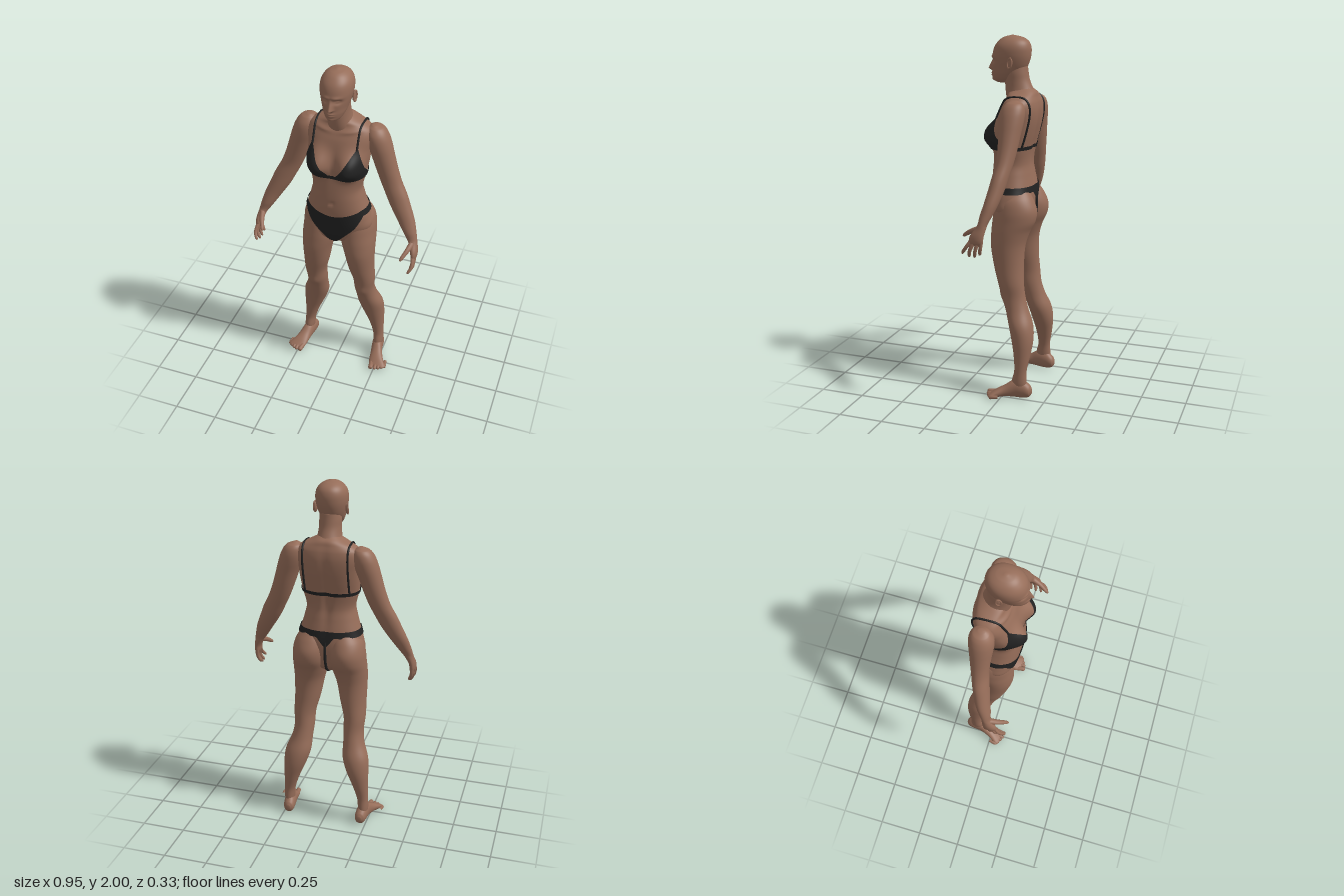
import * as THREE from 'three';
import { mergeVertices } from 'three/addons/utils/BufferGeometryUtils.js';

const skinMat = new THREE.MeshStandardMaterial({ color: 0x966d59 });
skinMat.name = 'skin';
const clothMat = new THREE.MeshStandardMaterial({ color: 0x222222, side: THREE.DoubleSide });
clothMat.name = 'black cloth';

const gauss = (d, s) => Math.exp(-((d / s) ** 2));
const spow = (v, e) => Math.sign(v) * Math.abs(v) ** e;
const mix = (a, b, t) => a + (b - a) * t;

// Smoothly interpolate table rows by their first column
function sample(rows, k) {
  let i = 0;
  while (i < rows.length - 2 && k > rows[i + 1][0]) i++;
  const a = rows[i], b = rows[i + 1], p = rows[Math.max(i - 1, 0)], q = rows[Math.min(i + 2, rows.length - 1)];
  const h = b[0] - a[0], t = (k - a[0]) / h, t2 = t * t, t3 = t2 * t;
  return a.map((v, c) => {
    const m0 = (b[c] - p[c]) / (b[0] - p[0]) * h, m1 = (q[c] - v) / (q[0] - a[0]) * h;
    return (2 * t3 - 3 * t2 + 1) * v + (t3 - 2 * t2 + t) * m0 + (3 * t2 - 2 * t3) * b[c] + (t3 - t2) * m1;
  });
}

// Point on a limb surface; rows are [y, centre x, half width, front z, back z], angle 0 faces the front
function surface(rows, angle, y, e, bump) {
  const [, cx, hx, zf, zb] = sample(rows, y);
  const x = cx + Math.max(hx, 0.001) * spow(Math.sin(angle), e);
  const z = (zf + zb) / 2 + (zf - zb) / 2 * spow(Math.cos(angle), e);
  return [x, y, z + (bump ? bump(x, y, Math.cos(angle)) : 0)];
}

function gridGeometry(points, index) {
  const g = new THREE.BufferGeometry();
  g.setAttribute('position', new THREE.Float32BufferAttribute(points.flat(), 3));
  g.setIndex(index);
  g.computeVertexNormals();
  return g;
}

// Closed body form through stacked cross-sections
function loft(rows, { e = 1, seg = 40, sub = 5, bump } = {}) {
  const pts = [], index = [], levels = [];
  for (let i = 0; i < rows.length - 1; i++)
    for (let j = 0; j < sub; j++) levels.push(mix(rows[i][0], rows[i + 1][0], j / sub));
  levels.push(rows.at(-1)[0]);
  levels.forEach(y => {
    for (let j = 0; j < seg; j++) pts.push(surface(rows, j / seg * Math.PI * 2, y, e, bump));
  });
  const L = levels.length - 1;
  const capPoint = r => pts.push([r[1], r[0], (r[3] + r[4]) / 2]) - 1;
  const lo = capPoint(rows[0]), hi = capPoint(rows.at(-1));
  for (let j = 0; j < seg; j++) {
    const k = (j + 1) % seg;
    for (let i = 0; i < L; i++) {
      const a = i * seg + j, b = i * seg + k;
      index.push(a, b, b + seg, a, b + seg, a + seg);
    }
    index.push(lo, k, j, hi, L * seg + j, L * seg + k);
  }
  return gridGeometry(pts, index);
}

// Tapered tube along a curve with rounded ends
function digit(points, r0, r1) {
  const curve = new THREE.CatmullRomCurve3(points.map(p => new THREE.Vector3(...p)));
  const n = 18, seg = 10, g = new THREE.TubeGeometry(curve, n, 1, seg);
  const pos = g.attributes.position, v = new THREE.Vector3();
  for (let i = 0; i <= n; i++) {
    const t = i / n, c = curve.getPointAt(t);
    const r = mix(r0, r1, t) * Math.max(0.02, Math.sqrt(1 - Math.max(0, (t - 0.8) / 0.2) ** 2));
    for (let j = 0; j <= seg; j++) {
      const k = i * (seg + 1) + j;
      v.fromBufferAttribute(pos, k).sub(c).multiplyScalar(r).add(c);
      pos.setXYZ(k, v.x, v.y, v.z);
    }
  }
  g.deleteAttribute('normal');
  g.deleteAttribute('uv');
  const welded = mergeVertices(g, 1e-5);
  welded.computeVertexNormals();
  return welded;
}

const TORSO = [
  [0.93, 0, 0.03, 0.04, -0.05], [0.96, 0, 0.1, 0.085, -0.09], [1.0, 0, 0.16, 0.1, -0.105],
  [1.06, 0, 0.196, 0.108, -0.115], [1.12, 0, 0.187, 0.115, -0.118], [1.18, 0, 0.168, 0.12, -0.112],
  [1.25, 0, 0.148, 0.12, -0.1], [1.31, 0, 0.137, 0.116, -0.092], [1.39, 0, 0.155, 0.108, -0.1],
  [1.47, 0, 0.166, 0.098, -0.12], [1.54, 0, 0.172, 0.085, -0.135], [1.6, 0, 0.18, 0.07, -0.14],
  [1.645, 0, 0.17, 0.05, -0.135], [1.675, 0, 0.135, 0.035, -0.125], [1.7, 0, 0.085, 0.03, -0.115],
  [1.72, 0, 0.05, 0, -0.09]];
const NECK = [
  [1.64, 0, 0.085, 0.045, -0.12], [1.68, 0, 0.074, 0.053, -0.115], [1.72, 0, 0.064, 0.058, -0.095],
  [1.76, 0, 0.06, 0.06, -0.078], [1.8, 0, 0.06, 0.06, -0.07], [1.84, 0, 0.055, 0.05, -0.065]];
const HEAD = [
  [1.745, 0, 0.018, 0.105, 0.05], [1.758, 0, 0.04, 0.124, 0.02], [1.79, 0, 0.059, 0.131, -0.02],
  [1.82, 0, 0.069, 0.132, -0.055], [1.86, 0, 0.08, 0.131, -0.075], [1.9, 0, 0.086, 0.129, -0.084],
  [1.94, 0, 0.083, 0.117, -0.083], [1.97, 0, 0.067, 0.094, -0.068], [1.99, 0, 0.04, 0.065, -0.035],
  [2.0, 0, 0.006, 0.025, 0.01]];
const ARM = [
  [0.94, 0.459, 0.006, 0.08, 0.04], [0.955, 0.459, 0.016, 0.1, 0.026], [0.99, 0.456, 0.02, 0.096, 0.02],
  [1.03, 0.442, 0.025, 0.07, 0.012], [1.05, 0.433, 0.03, 0.06, 0.008], [1.09, 0.414, 0.039, 0.055, -0.01],
  [1.15, 0.385, 0.05, 0.042, -0.034], [1.22, 0.348, 0.058, 0.03, -0.055], [1.28, 0.32, 0.061, 0.02, -0.068],
  [1.35, 0.285, 0.06, 0.01, -0.082], [1.42, 0.258, 0.061, 0.01, -0.094], [1.5, 0.232, 0.064, 0.014, -0.105],
  [1.57, 0.209, 0.067, 0.018, -0.115], [1.62, 0.196, 0.06, 0.012, -0.115], [1.655, 0.187, 0.042, -0.01, -0.1],
  [1.67, 0.18, 0.012, -0.035, -0.07]];
const LEG = [
  [0.06, 0.226, 0.026, -0.06, -0.14], [0.1, 0.226, 0.03, -0.055, -0.14], [0.16, 0.222, 0.032, -0.068, -0.138],
  [0.25, 0.207, 0.046, -0.06, -0.154], [0.34, 0.188, 0.065, -0.041, -0.165], [0.42, 0.172, 0.074, -0.02, -0.156],
  [0.5, 0.155, 0.061, 0.005, -0.125], [0.57, 0.147, 0.058, 0.03, -0.105], [0.65, 0.148, 0.063, 0.052, -0.095],
  [0.75, 0.135, 0.075, 0.08, -0.09], [0.86, 0.125, 0.087, 0.1, -0.095], [0.94, 0.114, 0.099, 0.1, -0.118],
  [1.0, 0.108, 0.102, 0.095, -0.147], [1.06, 0.105, 0.1, 0.088, -0.154], [1.12, 0.1, 0.088, 0.075, -0.132],
  [1.17, 0.09, 0.06, 0.05, -0.1]];
// Foot runs along z: [z, centre x, half width, -sole height, -upper height]
const FOOT = [
  [-0.168, 0.218, 0.012, -0.03, -0.06], [-0.155, 0.219, 0.028, -0.012, -0.08], [-0.12, 0.222, 0.034, -0.003, -0.105],
  [-0.07, 0.228, 0.034, -0.004, -0.108], [-0.02, 0.24, 0.038, -0.006, -0.075], [0.02, 0.253, 0.046, -0.003, -0.052],
  [0.045, 0.263, 0.049, -0.003, -0.036], [0.06, 0.266, 0.042, -0.006, -0.026], [0.067, 0.267, 0.02, -0.01, -0.02]];

// Bust, navel, collarbones and spine groove
const torsoBump = (x, y, front) => {
  const ax = Math.abs(x);
  if (front < 0) return 0.012 * gauss(x, 0.025) * gauss(y - 1.42, 0.2) * -front;
  const r = Math.hypot((ax - 0.093) / 0.068, (y - 1.462) / (y > 1.462 ? 0.085 : 0.062));
  return Math.min(1, front * 3) * (0.062 * Math.exp(-(r ** 2.5)) - 0.012 * gauss(x, 0.009) * gauss(y - 1.23, 0.011)
    + 0.006 * gauss(y - 1.64 - 0.15 * ax, 0.011) * gauss(ax - 0.08, 0.06));
};

// Nose, brow, eye sockets, lips and chin
const faceBump = (x, y, front) => {
  if (front < 0) return 0;
  const ax = Math.abs(x), n = (1.878 - y) / 0.058;
  const nose = n < 0 ? 0 : n < 1 ? n : Math.max(0, 1 - (n - 1) * 4);
  return 0.027 * nose * gauss(x, 0.009 + 0.005 * nose)
    + 0.006 * gauss(y - 1.884, 0.009) * gauss(ax - 0.028, 0.026)
    - 0.015 * gauss(y - 1.864, 0.012) * gauss(ax - 0.034, 0.018)
    + 0.008 * gauss(y - 1.863, 0.006) * gauss(ax - 0.034, 0.011)
    + 0.012 * gauss(y - 1.79, 0.013) * gauss(x, 0.023) - 0.006 * gauss(y - 1.791, 0.003) * gauss(x, 0.02)
    + 0.009 * gauss(y - 1.762, 0.011) * gauss(x, 0.022);
};
const kneeBump = (x, y, front) => Math.max(0, front) * 0.008 * gauss(y - 0.57, 0.03) * gauss(Math.abs(x) - 0.147, 0.03);

const E = 0.87;
const onTorso = (angle, y, lift) => {
  const [x, , z] = surface(TORSO, angle, y, E, torsoBump);
  return [x + Math.sin(angle) * lift, y, z + Math.cos(angle) * lift];
};

// Thin cloth lying on the torso between two edge heights
function cloth(a0, a1, bottom, top, cols = 96, rows = 20) {
  const pts = [], index = [], w = cols + 1;
  for (let i = 0; i <= rows; i++)
    for (let j = 0; j <= cols; j++) {
      const a = mix(a0, a1, j / cols);
      pts.push(onTorso(a, mix(bottom(a), top(a), i / rows), 0.006));
      if (i < rows && j < cols) {
        const k = i * w + j;
        index.push(k, k + 1, k + w + 1, k, k + w + 1, k + w);
      }
    }
  return gridGeometry(pts, index);
}
const hipX = a => 0.185 * Math.abs(Math.sin(a)) ** E;
const briefTop = a => (Math.cos(a) > 0 ? 1.148 + 0.042 * Math.min(1, hipX(a) / 0.17) ** 1.5 : 1.19);
const briefBottom = a => (Math.cos(a) > 0
  ? Math.min(1.155, 0.945 + Math.max(0, hipX(a) - 0.025) * 1.48)
  : 1.155 - 0.06 * Math.max(0, 1 - hipX(a) / 0.05));
const cupTop = a => (a < 0.7 ? mix(1.41, 1.58, (a - 0.09) / 0.61) : 1.415 + 0.165 * Math.max(0, (1.6 - a) / 0.9) ** 1.3);

export function createModel() {
  const model = new THREE.Group();
  model.name = 'figure';
  const add = (name, geometry, material = skinMat, parent = model) => {
    const m = new THREE.Mesh(geometry, material);
    m.name = name;
    parent.add(m);
    return m;
  };
  const cord = (pts, r) => new THREE.TubeGeometry(
    new THREE.CatmullRomCurve3(pts.map(p => new THREE.Vector3(...p))), 50, r, 8);

  add('torso', loft(TORSO, { e: E, seg: 96, sub: 7, bump: torsoBump }));
  add('neck', loft(NECK));
  add('head', loft(HEAD, { e: 0.95, seg: 128, sub: 10, bump: faceBump }));

  // Swimwear
  add('braBand', cloth(0, Math.PI * 2, () => 1.392, () => 1.412, 96, 3), clothMat);
  add('briefs', cloth(0, Math.PI * 2, briefBottom, briefTop, 160, 24), clothMat);
  add('briefsBackCord', cord([[0, 1.13, -0.12], [0, 1.06, -0.121], [0, 1.0, -0.11], [0, 0.95, -0.08],
    [0, 0.925, -0.02], [0, 0.935, 0.04], [0, 0.955, 0.08]], 0.008), clothMat);

  for (const s of [1, -1]) {
    const side = new THREE.Group();
    side.name = s > 0 ? 'leftSide' : 'rightSide';
    model.add(side);
    const flip = rows => rows.map(r => [r[0], r[1] * s, ...r.slice(2)]);
    const mirror = pts => pts.map(p => [p[0] * s, p[1], p[2]]);
    const put = (name, g, m) => add(name, g, m, side);

    put('arm', loft(flip(ARM)));
    put('leg', loft(flip(LEG), { seg: 48, bump: kneeBump }));
    put('foot', loft(flip(FOOT)).rotateX(Math.PI / 2));

    // Fingers and thumb
    [[[0.457, 0.965, 0.088], [0.463, 0.92, 0.122], [0.445, 0.885, 0.148]],
      [[0.459, 0.965, 0.072], [0.463, 0.91, 0.096], [0.441, 0.868, 0.108]],
      [[0.459, 0.965, 0.052], [0.459, 0.905, 0.068], [0.44, 0.868, 0.078]],
      [[0.458, 0.965, 0.034], [0.456, 0.92, 0.04], [0.44, 0.882, 0.049]]]
      .forEach(p => put('finger', digit(mirror(p), 0.0115, 0.008)));
    put('thumb', digit(mirror([[0.443, 1.03, 0.045], [0.428, 1.008, 0.1], [0.415, 0.99, 0.13], [0.403, 0.97, 0.158]]), 0.018, 0.009));

    // Toes
    [[0.232, 0.09], [0.257, 0.086], [0.276, 0.078], [0.293, 0.067], [0.309, 0.054]].forEach(([x, z], i) => {
      const r = i ? 0.01 : 0.014;
      put('toe', digit(mirror([[x - 0.006, 0.02, z - 0.05], [x, 0.018, z - 0.02], [x, r + 0.001, z]]), r, r));
    });

    // Ear: shell and rim
    const ear = new THREE.Group();
    ear.name = 'ear';
    ear.position.set(0.085 * s, 1.853, 0.005);
    ear.rotation.set(-0.15, -0.35 * s, 0);
    side.add(ear);
    add('earShell', new THREE.SphereGeometry(1, 16, 12).scale(0.007, 0.03, 0.016), skinMat, ear);
    add('earRim', new THREE.TorusGeometry(0.014, 0.004, 8, 24).rotateY(Math.PI / 2).scale(1, 1.9, 1), skinMat, ear).position.x = 0.005 * s;

    // Cup and shoulder strap
    put('braCup', cloth(0.09 * s, 1.6 * s, () => 1.395, a => cupTop(Math.abs(a)), 60, 30), clothMat);
    const strap = (x, y, back) => {
      const a = Math.asin(Math.min(1, (x / sample(TORSO, y)[2]) ** (1 / E)));
      return onTorso(back ? Math.PI - a : a, y, 0.004);
    };
    put('braStrap', cord(mirror([
      ...[1.565, 1.6, 1.635, 1.66, 1.676].map(y => strap(0.12, y, false)),
      ...[1.676, 1.66, 1.63, 1.58, 1.52, 1.46, 1.405].map(y => strap(0.122, y, true))]), 0.006), clothMat);
  }
  return model;
}
